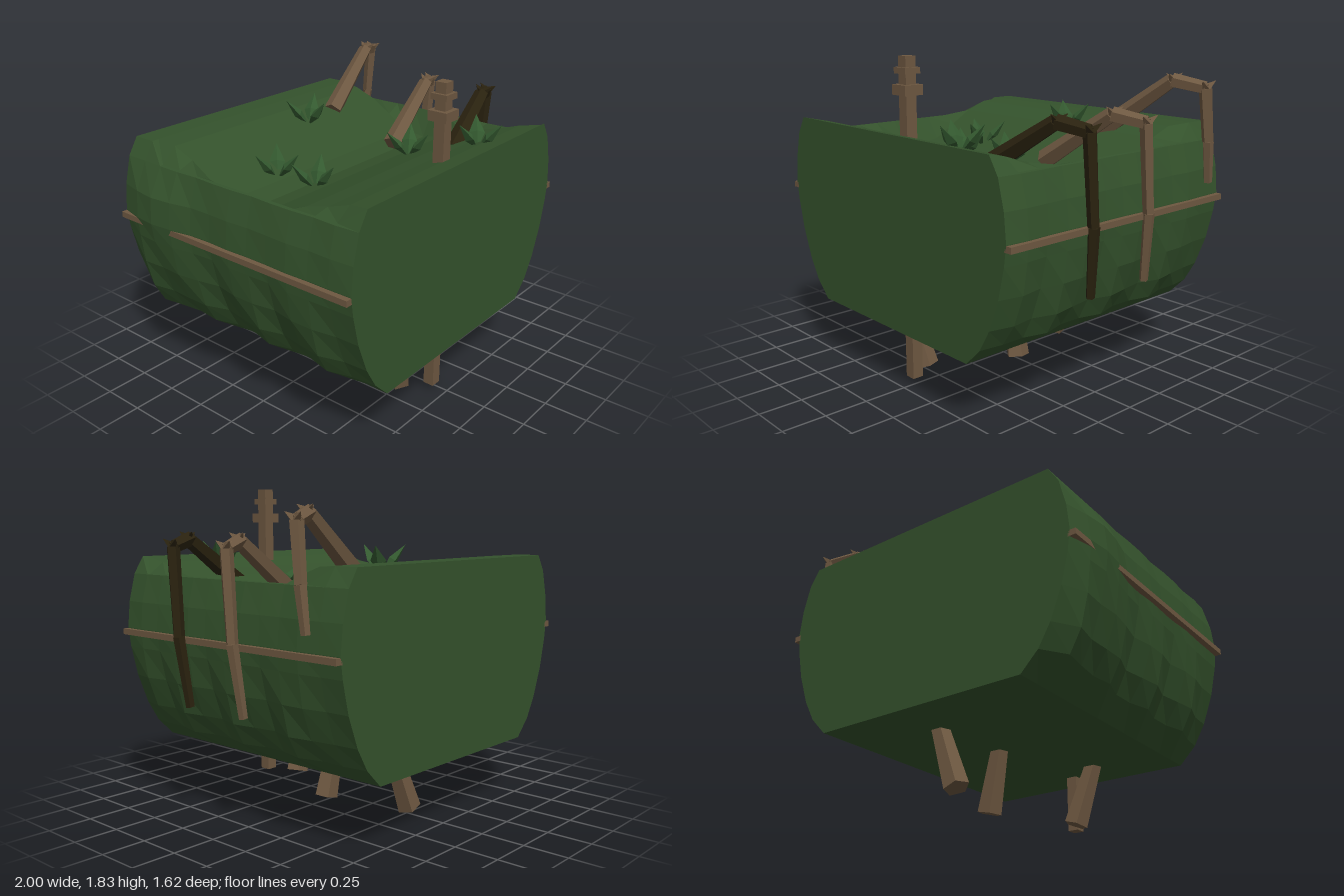
import * as THREE from 'three';

const mat = (name, color) => {
  const m = new THREE.MeshStandardMaterial({ color, flatShading: true });
  m.name = name;
  return m;
};
const V = (p) => new THREE.Vector3(...p);
const UP = new THREE.Vector3(0, 1, 0);
const CX = -0.022; // body axis

// Right half outline from the bottom corner up: [half width, height, outward swell]
const SIDE = [[0.645, 0.36, 0], [0.745, 0.46, 0.03], [0.815, 0.58, 0.03], [0.88, 0.75, 0.02],
  [0.92, 0.92, 0.008], [0.935, 1.03, 0.004], [0.92, 1.18, 0.006], [0.88, 1.335, 0.006]];
// Height of the valley floor from back to front
const TOP = [1.43, 1.43, 1.42, 1.37, 1.29, 1.21, 1.19, 1.22, 1.27, 1.32, 1.355, 1.4, 1.43];

function bodyGeometry() {
  const n = TOP.length - 1;
  const rings = TOP.map((h, s) => {
    const z = -0.812 + (1.624 * s) / n;
    const end = s === 0 || s === n;
    const high = end || s === 1;
    const half = (sign) => {
      const pts = SIDE.map(([w, y, swell], j) => {
        const wave = end ? 0 : swell * (1 + 0.8 * Math.sin(s * 2.1 + j * 0.5 + sign));
        const bulge = sign < 0 && !end && j > 0 && j < 7
          ? 0.045 * Math.exp(-(((z + 0.55) / 0.2) ** 2)) : 0;
        return [CX + sign * (w + wave + bulge), y, z];
      });
      pts.push([CX + sign * (high ? 0.82 : 0.868), high ? 1.43 : 1.338, z]);
      return pts;
    };
    const across = [0.76, 0.54, 0.25, -0.03, -0.3, -0.6, -0.8].map((x) => [x, h, z]);
    return [...half(1), ...across, ...half(-1).reverse()];
  });
  const out = [];
  const m = rings[0].length;
  for (let s = 0; s < n; s++) {
    for (let j = 0; j < m; j++) {
      const k = (j + 1) % m;
      const [a, b, c, d] = [rings[s][j], rings[s][k], rings[s + 1][k], rings[s + 1][j]];
      out.push(...a, ...b, ...c, ...a, ...c, ...d);
    }
  }
  // Flat end caps
  const back = [CX, 0.9, -0.812];
  const front = [CX, 0.9, 0.812];
  for (let j = 0; j < m; j++) {
    const k = (j + 1) % m;
    out.push(...front, ...rings[n][j], ...rings[n][k]);
    out.push(...back, ...rings[0][k], ...rings[0][j]);
  }
  const g = new THREE.BufferGeometry();
  g.setAttribute('position', new THREE.Float32BufferAttribute(out, 3));
  g.computeVertexNormals();
  return g;
}

export function createModel() {
  const green = mat('moss green', 0x34522c);
  const leafGreen = mat('leaf green', 0x345a30);
  const wood = mat('wood brown', 0x6e5841);
  const darkWood = mat('dark wood', 0x2a220f);
  const model = new THREE.Group();

  const add = (parent, name, geo, material, pos = [0, 0, 0]) => {
    const mesh = new THREE.Mesh(geo, material);
    mesh.name = name;
    mesh.position.set(...pos);
    parent.add(mesh);
    return mesh;
  };
  // Tapered stick from a to b
  const stick = (parent, name, a, b, ra, rb, material, sides = 5) => {
    const A = V(a), B = V(b);
    const d = B.clone().sub(A);
    const mesh = add(parent, name, new THREE.CylinderGeometry(rb, ra, d.length(), sides), material);
    mesh.position.copy(A).add(B).multiplyScalar(0.5);
    mesh.quaternion.setFromUnitVectors(UP, d.normalize());
  };

  add(model, 'body', bodyGeometry(), green);

  // Long rails on both flanks
  for (const s of [-1, 1]) {
    add(model, 'sideRail', new THREE.BoxGeometry(0.045, 0.033, 1.624), wood, [CX + s * 0.945, 1.01, 0]);
  }

  // Post with two collars
  const post = new THREE.Group();
  post.name = 'post';
  model.add(post);
  for (const [w, h, y] of [[0.065, 1.79, 0.925], [0.115, 0.055, 1.645], [0.098, 0.033, 1.745]]) {
    add(post, 'postPiece', new THREE.BoxGeometry(w, h, w), wood, [-0.025, y, 0.655]);
  }

  // Props under the body
  const props = [
    [[-0.3, 0.6, 0.565], [-0.125, 0.02, 0.495]],
    [[0.0, 0.6, -0.02], [0.13, 0.02, 0.005]],
    [[0.19, 0.6, -0.455], [-0.035, 0.02, -0.485]],
  ];
  for (const [top, foot] of props) stick(model, 'prop', foot, top, 0.07, 0.038, wood);

  // Bent limbs reaching over the flank
  const limbs = [
    { m: darkWood, p: [[0.41, 1.29, 0.445], [0.8, 1.535, 0.385], [0.96, 1.5, 0.32], [0.965, 1.03, 0.283], [0.925, 0.65, 0.252]] },
    { m: wood, p: [[0.38, 1.25, 0.04], [0.8, 1.535, -0.02], [0.96, 1.5, -0.1], [0.965, 1.03, -0.138], [0.925, 0.65, -0.167]] },
    { m: wood, p: [[0.38, 1.37, -0.43], [0.8, 1.675, -0.505], [0.96, 1.64, -0.585], [0.97, 1.35, -0.618], [0.965, 1.12, -0.645]] },
  ];
  const radii = [0.058, 0.042, 0.037, 0.032, 0.024];
  for (const { m, p } of limbs) {
    const limb = new THREE.Group();
    limb.name = 'bentLimb';
    model.add(limb);
    for (let i = 0; i < 4; i++) stick(limb, 'limbSegment', p[i], p[i + 1], radii[i], radii[i + 1], m);
    // Thorns at the two joints
    for (const j of [1, 2]) {
      for (const [dx, dy, dz] of [[0.02, 0.04, 0.055], [0.025, 0.04, -0.055], [-0.04, 0.036, 0]]) {
        const [x, y, z] = p[j];
        stick(limb, 'thorn', [x, y, z], [x + dx, y + dy, z + dz], 0.03, 0.001, m, 4);
      }
    }
  }

  // Three-leaved sprouts on the top
  const leafGeo = new THREE.LatheGeometry(
    [[0, 0], [0.045, 0.1], [0, 0.21]].map((q) => new THREE.Vector2(...q)), 4);
  leafGeo.scale(1, 1, 0.6);
  const sprouts = [[0.12, 1.345, -0.4, -0.08], [-0.39, 1.2, -0.18, 0.25], [-0.32, 1.17, 0.04, -0.05],
    [0.29, 1.235, 0.22, 0], [0.37, 1.35, 0.635, 0.15]];
  for (const [x, y, z, turn] of sprouts) {
    const sprout = new THREE.Group();
    sprout.name = 'sprout';
    sprout.position.set(x, y, z);
    model.add(sprout);
    for (let k = 0; k < 3; k++) {
      const leaf = add(sprout, 'leaf', leafGeo, leafGreen);
      leaf.rotation.order = 'YXZ';
      leaf.rotation.y = (k * Math.PI * 2) / 3 + turn;
      leaf.rotation.x = 0.7;
    }
  }

  return model;
}
